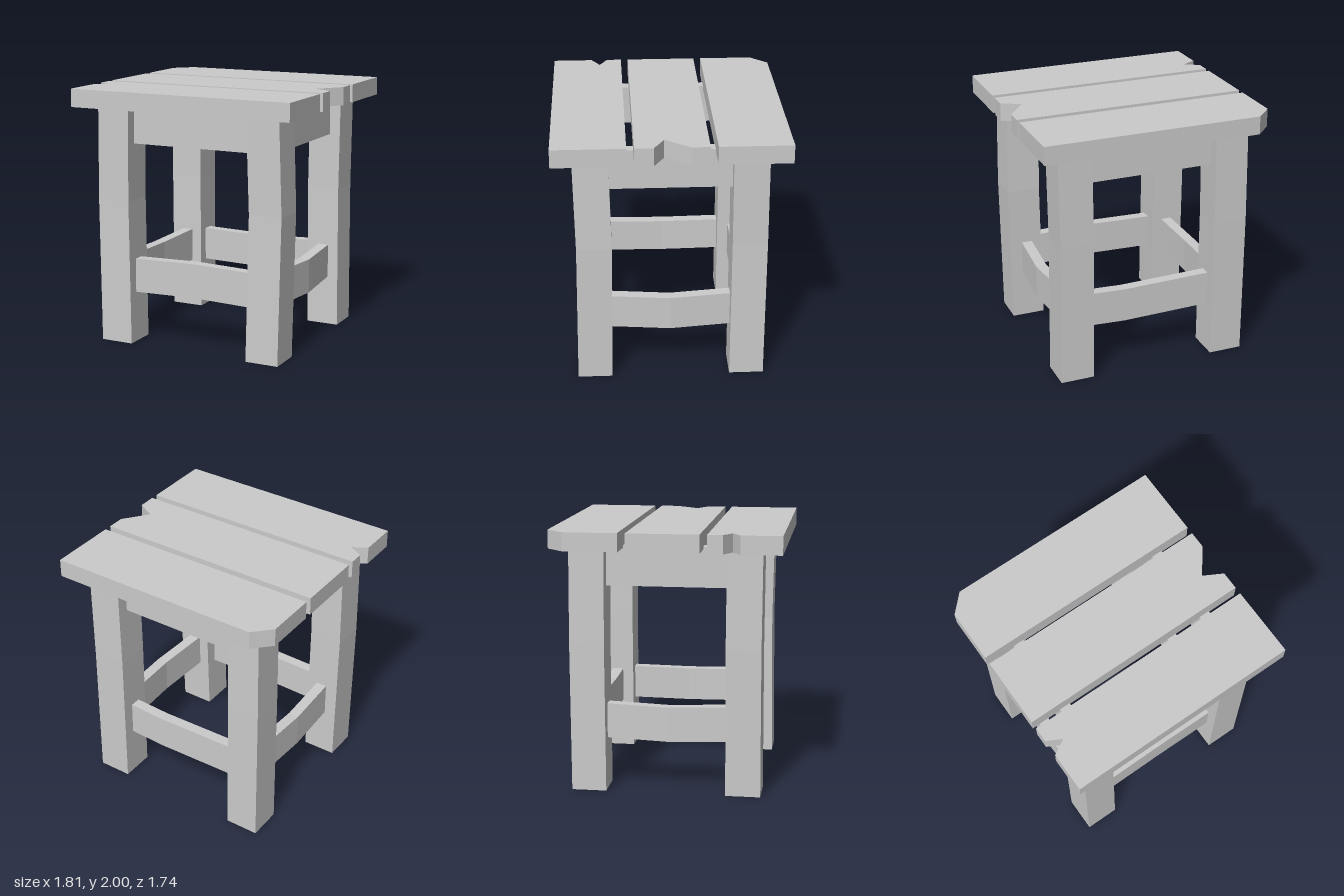
import * as THREE from 'three';

const material = new THREE.MeshStandardMaterial({ color: 0xcccccc, flatShading: true });

// Plank cut from an outline of [x, z] points, lying at the top of the stool
function plank(name, outline) {
  const shape = new THREE.Shape(outline.map(([x, z]) => new THREE.Vector2(x, -z)));
  const geometry = new THREE.ExtrudeGeometry(shape, { depth: 0.14, bevelEnabled: false });
  geometry.rotateX(-Math.PI / 2).translate(0, 1.86, 0);
  const mesh = new THREE.Mesh(geometry, material);
  mesh.name = name;
  return mesh;
}

// Box beam whose middle section, at position `at` along its long axis, is shifted by `bow`
function beam(name, size, center, axis = 'x', bow = [0, 0, 0], at = 0) {
  const segments = ['x', 'y', 'z'].map((a) => (a === axis ? 2 : 1));
  const geometry = new THREE.BoxGeometry(...size, ...segments);
  const pos = geometry.attributes.position;
  const p = new THREE.Vector3();
  const shift = new THREE.Vector3(...bow);
  for (let i = 0; i < pos.count; i++) {
    p.fromBufferAttribute(pos, i);
    if (Math.abs(p[axis]) < 1e-6) {
      p.add(shift);
      p[axis] += at;
      pos.setXYZ(i, p.x, p.y, p.z);
    }
  }
  geometry.computeVertexNormals();
  const mesh = new THREE.Mesh(geometry, material);
  mesh.name = name;
  mesh.position.set(...center);
  return mesh;
}

export function createModel() {
  const stool = new THREE.Group();
  stool.name = 'stool';
  const w = 0.905;

  // Seat: three planks with a chipped corner and two notches
  stool.add(
    plank('backPlank', [[-w, -0.33], [w, -0.33], [w, -0.873], [-0.775, -0.873], [-w, -0.74]]),
    plank('middlePlank', [[-w, 0.27], [w, 0.27], [w, 0.13], [0.76, 0.05], [w, -0.14], [w, -0.273], [-w, -0.273]]),
    plank('frontPlank', [[-w, 0.87], [w, 0.87], [w, 0.325], [-w, 0.325], [-w, 0.44], [-0.79, 0.5], [-w, 0.565]]),
  );

  // Slightly warped legs: name, x, z, bow
  const legs = [
    ['frontLeftLeg', 0.625, 0.587, [0.018, 0, -0.014]],
    ['frontRightLeg', -0.628, 0.587, [-0.012, 0, -0.004]],
    ['backLeftLeg', 0.625, -0.591, [-0.01, 0, -0.004]],
    ['backRightLeg', -0.628, -0.591, [-0.006, 0, -0.004]],
  ];
  for (const [name, x, z, bow] of legs) {
    stool.add(beam(name, [0.263, 1.86, 0.265], [x, 0.93, z], 'y', bow, 0.2));
  }

  // Straight top rails and warped lower stretchers between the legs
  for (const s of [1, -1]) {
    const end = s > 0 ? 'front' : 'back';
    const side = s > 0 ? 'left' : 'right';
    const z = s * 0.589;
    const x = s * 0.625;
    stool.add(
      beam(end + 'Rail', [1.0, 0.305, 0.085], [0, 1.7275, z]),
      beam(side + 'Rail', [0.085, 0.305, 0.92], [x, 1.7275, 0], 'z'),
      beam(end + 'Stretcher', [1.0, 0.268, 0.085], [0, 0.532, z], 'x', [0, s * 0.014, 0], s > 0 ? 0 : 0.2),
      beam(side + 'Stretcher', [0.085, 0.268, 0.92], [x, 0.532, 0], 'z', [s > 0 ? 0.03 : -0.015, -0.014, 0]),
    );
  }
  return stool;
}
